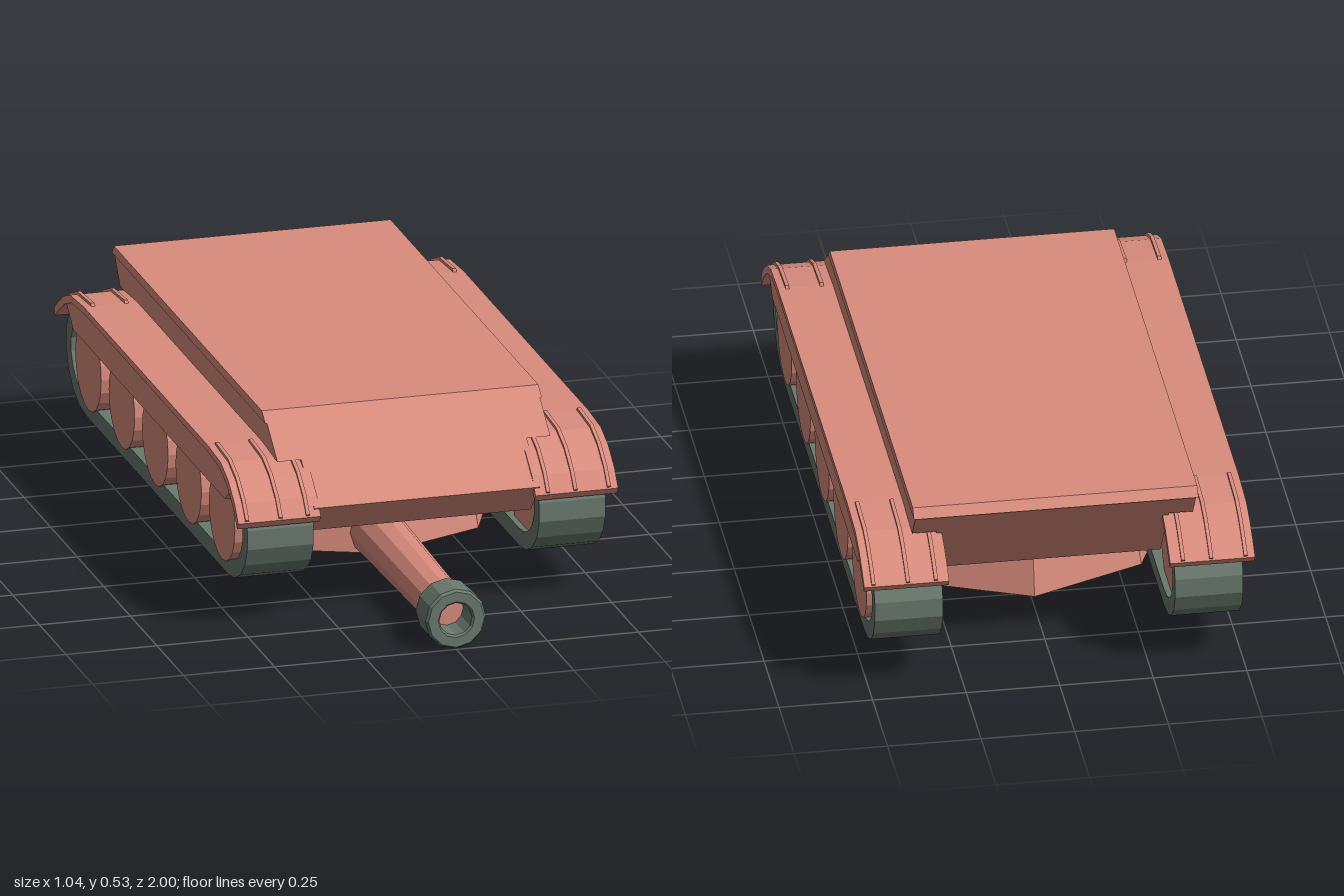
import * as THREE from 'three';

const paint = new THREE.MeshStandardMaterial({ color: 0xd98c7d, flatShading: true });
const rubber = new THREE.MeshStandardMaterial({ color: 0x6b7a6f, flatShading: true });

// Shape from [z, y] corners
const outline = (pts) => new THREE.Shape(pts.map(([z, y]) => new THREE.Vector2(z, y)));

// Extrude a [z, y] side profile from x0 to x1
function slab(shape, x0, x1) {
  const geo = new THREE.ExtrudeGeometry(shape, { depth: x1 - x0, bevelEnabled: false });
  geo.rotateY(-Math.PI / 2);
  geo.translate(x1, 0, 0);
  return geo;
}

// Rounded-end loop around the two end wheels, shrunk by inset
function trackLoop(inset) {
  const pts = [];
  const steps = 9, rz = 0.19 - inset, ry = 0.153 - inset;
  for (const [cz, start] of [[0.53, -Math.PI / 2], [-0.8, Math.PI / 2]]) {
    for (let i = 0; i <= steps; i++) {
      const a = start + (i / steps) * Math.PI;
      pts.push(new THREE.Vector2(cz + rz * Math.cos(a), 0.26 + ry * Math.sin(a)));
    }
  }
  return pts;
}

export function createModel() {
  const model = new THREE.Group();
  const add = (name, geo, mat = paint, parent = model) => {
    const mesh = new THREE.Mesh(geo, mat);
    mesh.name = name;
    parent.add(mesh);
    return mesh;
  };

  // Hull: top plate, wide upper body, narrow lower body between the tracks
  add('topPlate', slab(outline([[0.502, 0.505], [0.47, 0.53], [-0.92, 0.53], [-0.94, 0.505]]), -0.38, 0.38));
  add('upperHull', slab(outline([[0.6, 0.43], [0.502, 0.505], [-0.935, 0.505], [-0.88, 0.43]]), -0.375, 0.375));
  add('lowerHull', slab(outline([
    [0.64, 0.245], [0.725, 0.335], [0.6, 0.43], [-0.88, 0.43], [-0.745, 0.245],
  ]), -0.31, 0.31));

  // Running gear and fenders, once per side
  const front = [[0.735, 0.315], [0.7, 0.36], [0.64, 0.405], [0.57, 0.432], [0.45, 0.44]];
  const rear = [[-0.72, 0.44], [-0.85, 0.43], [-0.91, 0.407], [-0.96, 0.375], [-1, 0.345]];
  const band = (pts, lift, depth) => outline([
    ...pts.map(([z, y]) => [z, y + lift]),
    ...[...pts].reverse().map(([z, y]) => [z - Math.sign(z) * 0.012, y - depth]),
  ]);
  for (const [name, side] of [['left', 1], ['right', -1]]) {
    const group = new THREE.Group();
    group.name = name + 'RunningGear';
    model.add(group);
    const part = (label, shape, x0, x1, mat) =>
      add(label, slab(shape, Math.min(side * x0, side * x1), Math.max(side * x0, side * x1)), mat, group);

    const loop = new THREE.Shape(trackLoop(0));
    loop.holes.push(new THREE.Path(trackLoop(0.048)));
    part('track', loop, 0.31, 0.492, rubber);

    for (let i = 0; i < 5; i++) {
      const wheel = add('roadWheel', new THREE.CylinderGeometry(0.122, 0.122, 0.17, 20), paint, group);
      wheel.rotation.z = Math.PI / 2;
      wheel.position.set(side * 0.412, 0.258, 0.495 - i * 0.314);
    }

    part('fender', band([...front, ...rear], 0, 0.018), 0.295, 0.522);
    part('sideSkirt', outline([
      [0.585, 0.335], [0.65, 0.385], [0.57, 0.42], [0.45, 0.43],
      [-0.72, 0.43], [-0.85, 0.42], [-0.91, 0.39], [-0.84, 0.335],
    ]), 0.5, 0.515);

    // Raised stiffening ribs on the curved fender ends
    for (const x of [0.33, 0.405, 0.497]) {
      part('frontRib', band(front, 0.008, 0.01), x - 0.005, x + 0.005);
      part('rearRib', band(rear, 0.008, 0.01), x - 0.005, x + 0.005);
    }
  }

  // Turret beneath the hull, with its hatch
  const turret = add('turret', new THREE.CylinderGeometry(0.392, 0.432, 0.215, 8));
  turret.position.set(0, 0.1425, -0.145);
  const hatch = add('hatch', new THREE.BoxGeometry(0.21, 0.04, 0.26));
  hatch.position.set(0, 0.025, -0.03);

  // Gun barrel, tapering toward the muzzle
  const barrel = add('gunBarrel', new THREE.CylinderGeometry(0.06, 0.077, 0.9, 12));
  barrel.rotation.x = Math.PI / 2;
  barrel.position.set(0, 0.086, 0.46);

  // Hollow muzzle ring
  const ring = [[0.045, 0], [0.083, 0], [0.083, 0.092], [0.077, 0.1], [0.05, 0.1], [0.045, 0.094], [0.045, 0]];
  const muzzle = add('muzzleRing',
    new THREE.LatheGeometry(ring.map(([r, h]) => new THREE.Vector2(r, h)), 12), rubber);
  muzzle.rotation.x = Math.PI / 2;
  muzzle.position.set(0, 0.086, 0.9);

  return model;
}
